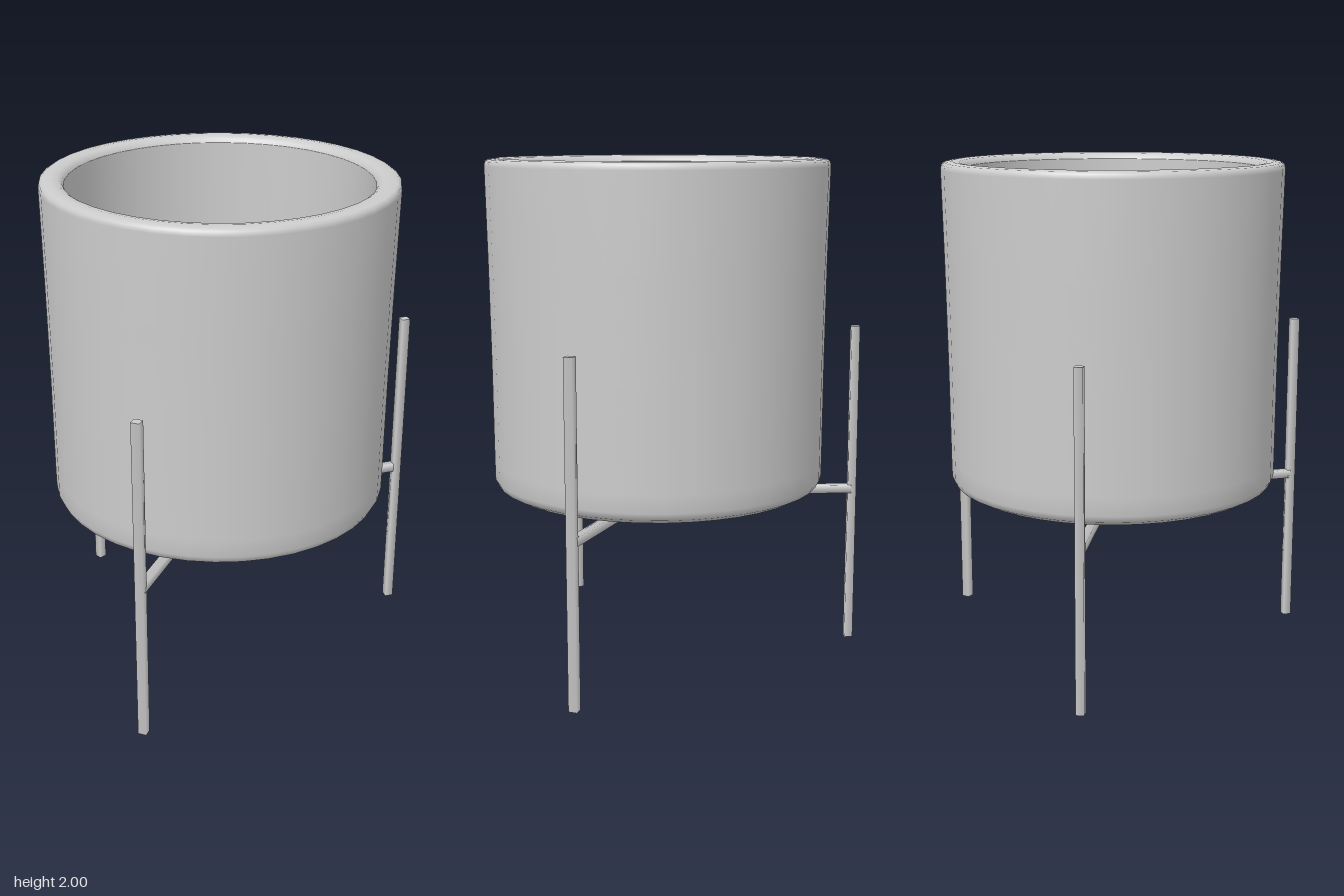
import * as THREE from 'three';

const CENTRE_Z = 0.07;

// Smooth surface of revolution from [radius, height] points
function lathe(name, points, material) {
  const profile = points.map(([r, y]) => new THREE.Vector2(r, y));
  const mesh = new THREE.Mesh(new THREE.LatheGeometry(profile, 40), material);
  mesh.name = name;
  return mesh;
}

// Square rod with softly shaded sides, standing along y
function rod(name, width, length, material) {
  const radius = width / Math.SQRT2;
  const geometry = new THREE.CylinderGeometry(radius, radius, length, 4, 1, false, Math.PI / 4);
  const mesh = new THREE.Mesh(geometry, material);
  mesh.name = name;
  return mesh;
}

export function createModel() {
  const grey = new THREE.MeshStandardMaterial({ color: 0xcccccc });
  grey.name = 'plain grey';

  const model = new THREE.Group();
  model.name = 'planterOnStand';

  // Pot: rounded outer shell, soft rim, straight inner wall and thin flat floor
  const pot = new THREE.Group();
  pot.name = 'pot';
  pot.add(
    lathe('outerShell', [
      [0, 0.674], [0.57, 0.675], [0.615, 0.682], [0.652, 0.702],
      [0.666, 0.73], [0.667, 0.8], [0.669, 1.2], [0.674, 1.6],
      [0.681, 1.97], [0.678, 1.988], [0.665, 1.996], [0.635, 2],
      [0.608, 1.996], [0.593, 1.986], [0.587, 1.973],
    ], grey),
    lathe('innerWall', [[0.587, 1.973], [0.587, 0.685]], grey),
    lathe('innerFloor', [[0.587, 0.685], [0, 0.685]], grey),
  );
  model.add(pot);

  // Stand: three upright legs joined by bars that meet under the pot
  const stand = new THREE.Group();
  stand.name = 'stand';
  for (const [side, angle] of [['back', Math.PI], ['left', 1.129], ['right', -1.129]]) {
    const arm = new THREE.Group();
    arm.name = side + 'Support';
    const leg = rod('leg', 0.034, 1.326, grey);
    leg.position.set(0, 0.663, 0.803);
    const bar = rod('bar', 0.034, 0.8, grey);
    bar.rotation.x = Math.PI / 2;
    bar.position.set(0, 0.646, 0.4);
    arm.add(leg, bar);
    arm.rotation.y = angle;
    stand.add(arm);
  }
  model.add(stand);

  pot.position.z = stand.position.z = CENTRE_Z;
  return model;
}
